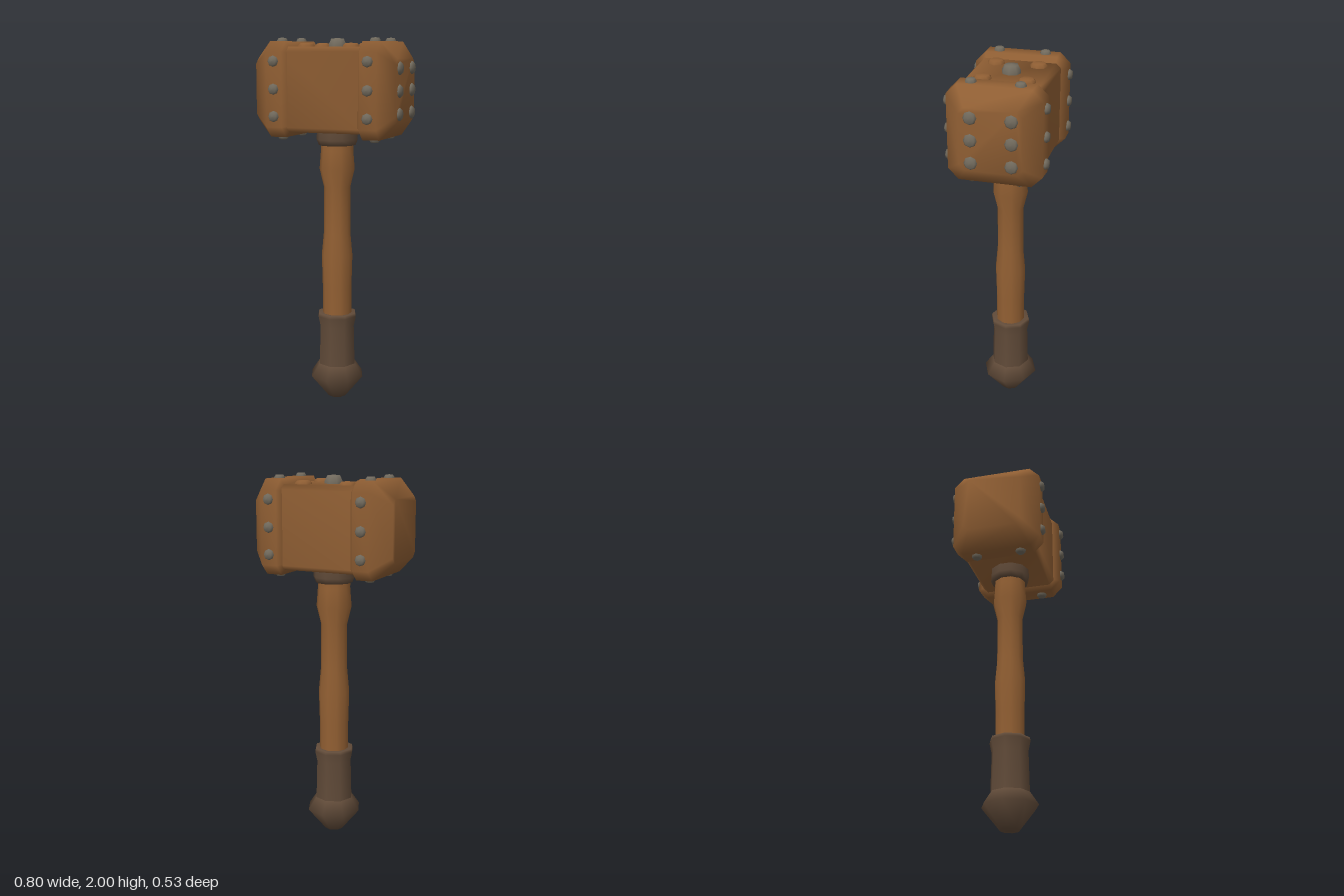
import * as THREE from 'three';

const mat = (name, color) => {
  const m = new THREE.MeshStandardMaterial({ color });
  m.name = name;
  return m;
};

// Loft of chamfered rectangles along x; each section is [x, halfHeight, halfDepth, chamfer]
function loft(sections, capStart, capEnd) {
  const pos = [], idx = [];
  for (const [x, h, d, c] of sections) {
    const ring = [[h, -d + c], [h, d - c], [h - c, d], [-h + c, d], [-h, d - c], [-h, -d + c], [-h + c, -d], [h - c, -d]];
    for (const [y, z] of ring) pos.push(x, y, z);
  }
  const last = (sections.length - 1) * 8;
  for (let i = 0; i < last; i += 8) {
    for (let j = 0; j < 8; j++) {
      const k = (j + 1) % 8;
      idx.push(i + j, i + k, i + 8 + k, i + j, i + 8 + k, i + 8 + j);
    }
  }
  for (let j = 1; j < 7; j++) {
    if (capStart) idx.push(0, j + 1, j);
    if (capEnd) idx.push(last, last + j, last + j + 1);
  }
  const g = new THREE.BufferGeometry();
  g.setAttribute('position', new THREE.Float32BufferAttribute(pos, 3));
  g.setIndex(idx);
  g.computeVertexNormals();
  return g;
}

const lathe = (points, sides = 8) =>
  new THREE.LatheGeometry(points.map(([r, y]) => new THREE.Vector2(r, y)), sides);

export function createModel() {
  const model = new THREE.Group();
  model.name = 'hammer';
  const headBrown = mat('head brown', 0x8f5e33);
  const woodBrown = mat('handle wood', 0x936033);
  const leather = mat('dark leather', 0x614b39);
  const metal = mat('rivet grey', 0x716a5d);

  const add = (name, geometry, material, parent = model) => {
    const m = new THREE.Mesh(geometry, material);
    m.name = name;
    parent.add(m);
    return m;
  };

  // Head: a narrower middle block between two chamfered end caps
  const head = new THREE.Group();
  head.name = 'head';
  head.position.y = 1.73;
  model.add(head);
  add('headMiddle', loft([[-0.22, 0.222, 0.217, 0.025], [0.22, 0.222, 0.212, 0.025]], true, true), headBrown, head);
  add('rightCap', loft([
    [-0.4, 0.162, 0.162, 0.03], [-0.302, 0.25, 0.246, 0.055],
    [-0.215, 0.25, 0.246, 0.055], [-0.19, 0.215, 0.212, 0.025],
  ], true, false), headBrown, head);
  add('leftCap', loft([
    [0.198, 0.215, 0.212, 0.025], [0.215, 0.25, 0.248, 0.055],
    [0.306, 0.25, 0.242, 0.055], [0.382, 0.162, 0.16, 0.03],
  ], false, true), headBrown, head);

  // Studs: low eight-sided domes pushed out along a given direction
  const up = new THREE.Vector3(0, 1, 0);
  const stud = (name, r, h, material, at, dir) => {
    const g = lathe([[r, -0.01], [r, h * 0.3], [r * 0.72, h * 0.9], [0, h]]);
    const m = add(name, g, material, head);
    m.position.set(...at);
    m.quaternion.setFromUnitVectors(up, new THREE.Vector3(...dir));
  };
  for (const x of [-0.26, 0.26]) {
    for (const s of [-1, 1]) {
      for (const y of [0.148, 0.004, -0.138]) stud('sideRivet', 0.029, 0.021, metal, [x, y, s * 0.245], [0, 0, s]);
      for (const z of [-0.12, 0.128]) stud('edgeRivet', 0.029, 0.019, metal, [x, s * 0.25, z], [0, s, 0]);
    }
  }
  for (const z of [-0.105, 0.1]) {
    for (const y of [0.113, -0.002, -0.12]) stud('faceRivet', 0.034, 0.018, metal, [0.382, y, z], [1, 0, 0]);
  }
  for (const x of [-0.13, 0.122]) {
    for (const z of [-0.115, 0.11]) stud('topStud', 0.046, 0.02, headBrown, [x, 0.222, z], [0, 1, 0]);
  }
  stud('topKnob', 0.05, 0.046, metal, [0, 0.222, -0.005], [0, 1, 0]);

  // Uneven wooden handle
  add('handle', lathe([
    [0.08, 0.45], [0.08, 0.64], [0.085, 0.82], [0.073, 0.95], [0.072, 1.2],
    [0.096, 1.3], [0.088, 1.4], [0.088, 1.5],
  ], 10), woodBrown);

  // Collar under the head
  add('collar', lathe([[0.08, 1.43], [0.1, 1.43], [0.112, 1.46], [0.108, 1.53]], 10), leather);

  // Leather grip with a flared lip, and the pommel below it
  add('grip', lathe([
    [0.106, 0.19], [0.1, 0.42], [0.112, 0.475], [0.108, 0.493], [0.075, 0.49],
  ]), leather);
  add('pommel', lathe([
    [0, 0], [0.052, 0.004], [0.064, 0.02], [0.153, 0.13], [0.106, 0.2],
  ]), leather);

  return model;
}
